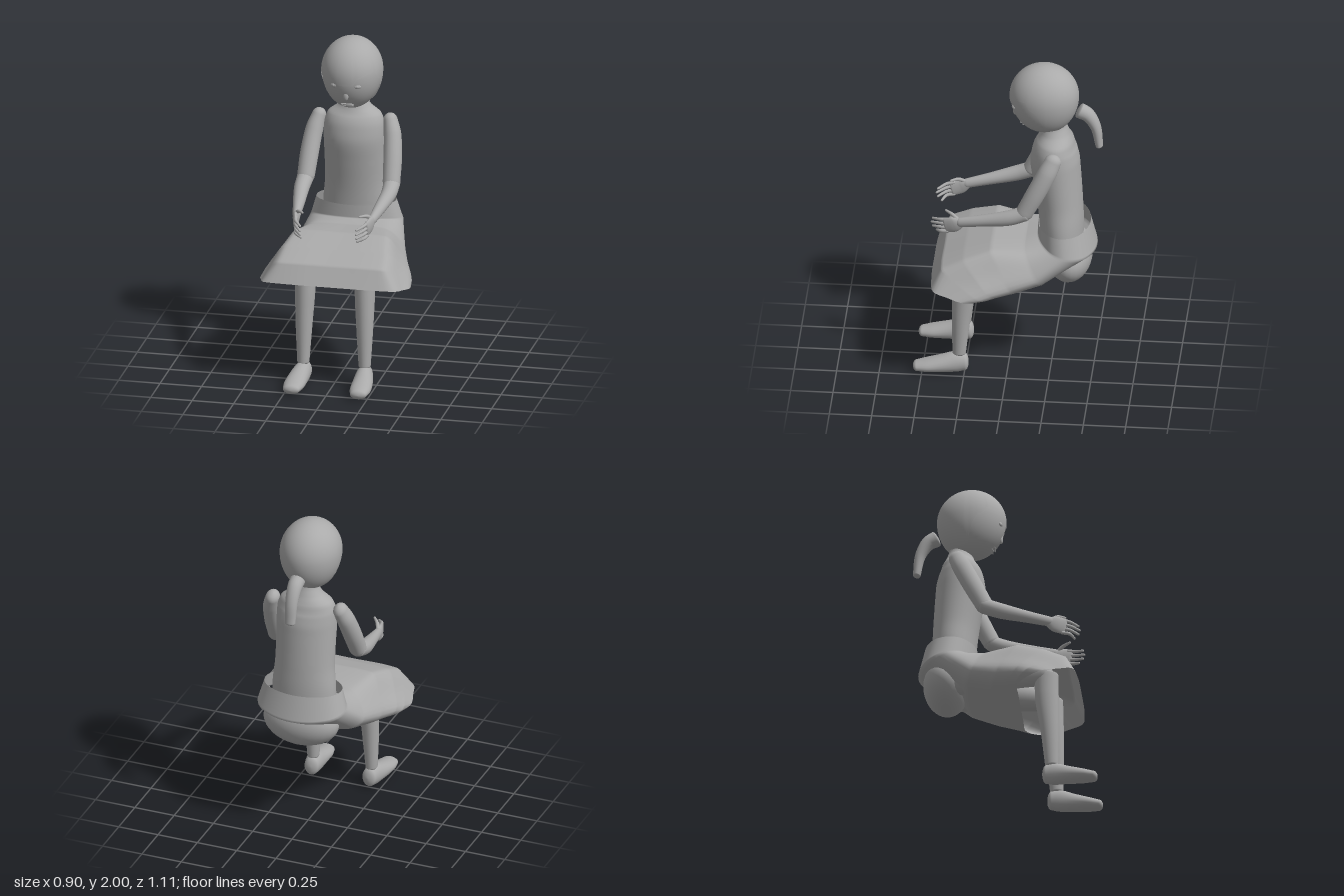
import * as THREE from 'three';

const grey = new THREE.MeshStandardMaterial({ color: 0xaaaaaa, side: THREE.DoubleSide });
grey.name = 'plain grey';
const V3 = (x, y, z) => new THREE.Vector3(x, y, z);

// Smooth skin over a list of closed rings
function skin(name, rings) {
  const n = rings[0].length, idx = [];
  for (let i = 0; i < rings.length - 1; i++)
    for (let j = 0; j < n; j++) {
      const k = (j + 1) % n, a = i * n + j, b = i * n + k, c = b + n, d = a + n;
      idx.push(a, b, c, a, c, d);
    }
  const g = new THREE.BufferGeometry().setFromPoints(rings.flat());
  g.setIndex(idx);
  g.computeVertexNormals();
  const m = new THREE.Mesh(g, grey);
  m.name = name;
  return m;
}

// Rounded body along a path; each point is [x, y, z, radius across, radius in depth]
function limb(name, pts, cap = 0.03, n = 20, steps = 24) {
  const path = new THREE.CatmullRomCurve3(pts.map(p => V3(p[0], p[1], p[2])));
  const size = new THREE.CatmullRomCurve3(pts.map(p => V3(p[3], p[4] ?? p[3], 0)));
  const rings = [];
  const add = (t, shift, scale) => {
    const T = path.getTangent(t), r = size.getPoint(t);
    const U = V3(1, 0, 0).addScaledVector(T, -T.x).normalize();
    const W = T.clone().cross(U);
    const c = path.getPoint(t).addScaledVector(T, shift);
    rings.push(Array.from({ length: n }, (_, j) => {
      const a = j / n * Math.PI * 2;
      return c.clone().addScaledVector(U, Math.cos(a) * r.x * scale).addScaledVector(W, Math.sin(a) * r.y * scale);
    }));
  };
  const caps = [90, 75, 55, 35, 15].map(d => d * Math.PI / 180);
  for (const a of caps) add(0, -cap * Math.sin(a), Math.max(Math.cos(a), 0.001));
  for (let i = 0; i <= steps; i++) add(i / steps, 0, 1);
  for (const a of caps.reverse()) add(1, cap * Math.sin(a), Math.max(Math.cos(a), 0.001));
  return skin(name, rings);
}

// Egg-shaped skull, starting at a lower limit that may vary round the head
const HEAD = { y: 1.8, z: -0.205, rx: 0.182, up: 0.2, down: 0.238, rz: 0.205 };
function skull(name, scale, limit) {
  const rings = [], n = 96, rows = 32;
  for (let i = 0; i <= rows; i++)
    rings.push(Array.from({ length: n }, (_, j) => {
      const a = j / n * Math.PI * 2;
      const low = limit(Math.abs(a > Math.PI ? a - 2 * Math.PI : a) * 180 / Math.PI);
      const e = low + (Math.PI / 2 - 0.002 - low) * i / rows, c = Math.cos(e) * scale, s = Math.sin(e) * scale;
      return V3(Math.sin(a) * c * HEAD.rx, HEAD.y + s * (s > 0 ? HEAD.up : HEAD.down), HEAD.z + Math.cos(a) * c * HEAD.rz);
    }));
  return skin(name, rings);
}
function faceZ(x, y) {
  const v = (y - HEAD.y) / HEAD.down, u = x / HEAD.rx;
  return HEAD.z + 0.975 * HEAD.rz * Math.sqrt(Math.max(0, 1 - u * u - v * v));
}

// Hairline height by angle from the front, in degrees
const HAIRLINE = [[0, 1.76], [15, 1.76], [22, 1.8], [45, 1.825], [60, 1.83], [66, 1.79], [78, 1.77], [88, 1.7], [96, 1.62], [180, 1.6]];
function hairLimit(deg) {
  const k = Math.max(1, HAIRLINE.findIndex(h => deg <= h[0]));
  const [a, ya] = HAIRLINE[k - 1], [b, yb] = HAIRLINE[k];
  const y = ya + (yb - ya) * (deg - a) / (b - a) - HEAD.y;
  return Math.asin(y / (y > 0 ? HEAD.up : HEAD.down));
}

function blob(name, x, y, z, rx, ry, rz, rotY = 0) {
  const m = new THREE.Mesh(new THREE.SphereGeometry(1, 28, 20), grey);
  m.name = name;
  m.position.set(x, y, z);
  m.scale.set(rx, ry, rz);
  m.rotation.y = rotY;
  return m;
}

// Skirt half-sections as [width share, top-to-bottom share]: waist, lap, hem
const SECTIONS = [
  [[0, 0], [0.38, 0.04], [0.7, 0.15], [0.92, 0.3], [1, 0.5], [0.87, 0.75], [0.5, 0.93], [0, 1]],
  [[0, 0], [0.6, 0], [0.75, 0.04], [0.9, 0.38], [1, 0.75], [0.8, 0.96], [0.4, 1], [0, 1]],
  [[0, 0], [0.6, 0.015], [0.88, 0.08], [0.95, 0.3], [1, 0.6], [0.76, 0.97], [0.4, 1], [0, 1]],
];
// Each ring: top y, top z, bottom y, bottom z, half width, section
const SKIRT = [
  [0.96, -0.17, 0.96, -0.48, 0.24, 0],
  [0.88, -0.17, 0.80, -0.52, 0.275, 0],
  [0.865, -0.1, 0.63, -0.23, 0.325, 0.6],
  [0.88, 0.09, 0.605, -0.07, 0.375, 1],
  [0.83, 0.25, 0.595, 0.03, 0.42, 1],
  [0.77, 0.38, 0.59, 0.07, 0.44, 1],
  [0.66, 0.445, 0.59, 0.085, 0.45, 2],
];
function skirt() {
  const rings = SKIRT.map(([ty, tz, by, bz, w, k]) => {
    const lo = SECTIONS[Math.floor(k)], hi = SECTIONS[Math.ceil(k)], f = k % 1;
    const half = lo.map((p, i) => {
      const u = p[0] + (hi[i][0] - p[0]) * f, t = p[1] + (hi[i][1] - p[1]) * f;
      return V3(-u * w, ty + (by - ty) * t, tz + (bz - tz) * t);
    });
    const other = half.slice(1, -1).reverse().map(p => V3(-p.x, p.y, p.z));
    const loop = new THREE.CatmullRomCurve3([...half, ...other], true, 'centripetal');
    return Array.from({ length: 56 }, (_, j) => loop.getPoint(j / 56));
  });
  // Straight in-between rings keep the fold lines soft
  const fine = [];
  rings.forEach((r, i) => {
    fine.push(r);
    if (rings[i + 1]) for (const f of [0.08, 0.5, 0.92]) fine.push(r.map((p, j) => p.clone().lerp(rings[i + 1][j], f)));
  });
  return skin('skirt', fine);
}

export function createModel() {
  const model = new THREE.Group();
  model.name = 'seated figure';

  // Head and hair
  const head = new THREE.Group();
  head.name = 'head';
  head.add(skull('face', 0.975, () => -Math.PI / 2 + 0.002), skull('hair', 1, hairLimit));
  head.add(limb('ponytail', [
    [0, 1.705, -0.415, 0.046, 0.048], [0, 1.68, -0.46, 0.044, 0.043],
    [0, 1.6, -0.508, 0.038, 0.032], [0, 1.475, -0.53, 0.032, 0.023]], 0.014));
  head.add(blob('nose', 0, 1.69, faceZ(0, 1.69) - 0.004, 0.016, 0.03, 0.012));
  for (const y of [1.626, 1.613]) head.add(blob('lip', 0, y, faceZ(0, y) - 0.001, 0.04, 0.007, 0.006));
  for (const s of [1, -1]) {
    const z = faceZ(0.073, 1.753);
    head.add(blob('eye', s * 0.073, 1.753, z - 0.002, 0.02, 0.012, 0.007, s * 0.35));
    head.add(blob('pupil', s * 0.073, 1.753, z + 0.003, 0.007, 0.008, 0.004, s * 0.35));
  }
  model.add(head);

  // Trunk
  model.add(limb('torso', [
    [0, 0.78, -0.31, 0.2, 0.125], [0, 0.96, -0.308, 0.195, 0.13], [0, 1.1, -0.298, 0.182, 0.135],
    [0, 1.25, -0.282, 0.182, 0.142], [0, 1.36, -0.27, 0.184, 0.146], [0, 1.45, -0.268, 0.18, 0.132],
    [0, 1.51, -0.272, 0.16, 0.108], [0, 1.555, -0.272, 0.1, 0.085], [0, 1.6, -0.27, 0.072, 0.07],
    [0, 1.65, -0.265, 0.065, 0.065]], 0.02, 32, 48));
  model.add(blob('seat', 0, 0.735, -0.355, 0.235, 0.155, 0.135));
  model.add(skirt());

  for (const s of [1, -1]) {
    const side = s > 0 ? 'left' : 'right';

    // Leg
    model.add(limb(side + 'Thigh', [[s * 0.11, 0.74, -0.28, 0.1], [s * 0.15, 0.74, 0, 0.09], [s * 0.18, 0.72, 0.23, 0.068]], 0.06));
    model.add(limb(side + 'Shin', [
      [s * 0.18, 0.71, 0.25, 0.062, 0.07], [s * 0.18, 0.57, 0.253, 0.06, 0.07],
      [s * 0.183, 0.36, 0.27, 0.05, 0.055], [s * 0.185, 0.13, 0.282, 0.036, 0.04]], 0.02));
    model.add(limb(side + 'Foot', [
      [s * 0.183, 0.068, 0.25, 0.044, 0.058], [s * 0.187, 0.066, 0.3, 0.052, 0.065],
      [s * 0.195, 0.055, 0.38, 0.06, 0.053], [s * 0.2, 0.043, 0.47, 0.062, 0.039],
      [s * 0.202, 0.037, 0.53, 0.05, 0.029]], 0.024));

    // Arm
    model.add(limb(side + 'UpperArm', [
      [s * 0.215, 1.475, -0.275, 0.042, 0.05], [s * 0.235, 1.4, -0.24, 0.052, 0.057],
      [s * 0.25, 1.28, -0.18, 0.055, 0.057], [s * 0.258, 1.145, -0.11, 0.052, 0.052]], 0.042));
    model.add(limb(side + 'Forearm', [
      [s * 0.26, 1.14, -0.115, 0.05, 0.046], [s * 0.262, 1.105, -0.02, 0.046, 0.046],
      [s * 0.245, 1.07, 0.13, 0.036, 0.036], [s * 0.228, 1.04, 0.27, 0.024, 0.03]], 0.03));

    // Hand
    const hand = new THREE.Group();
    hand.name = side + 'Hand';
    hand.add(limb('palm', [
      [s * 0.226, 1.04, 0.265, 0.02, 0.03], [s * 0.224, 1.022, 0.31, 0.018, 0.05], [s * 0.215, 1.01, 0.358, 0.013, 0.05]], 0.012));
    hand.add(limb('thumb', [
      [s * 0.225, 1.055, 0.285, 0.012], [s * 0.205, 1.078, 0.32, 0.011], [s * 0.173, 1.085, 0.36, 0.007]], 0.008, 10, 10));
    for (let i = 0; i < 4; i++) {
      const y = 1.048 - i * 0.026, reach = [0.438, 0.445, 0.438, 0.415][i];
      hand.add(limb('finger', [
        [s * 0.216, y, 0.345, 0.011], [s * 0.206, y - 0.006, 0.39, 0.01], [s * 0.17, y - 0.02, reach, 0.007]], 0.007, 10, 10));
    }
    model.add(hand);
  }
  return model;
}
